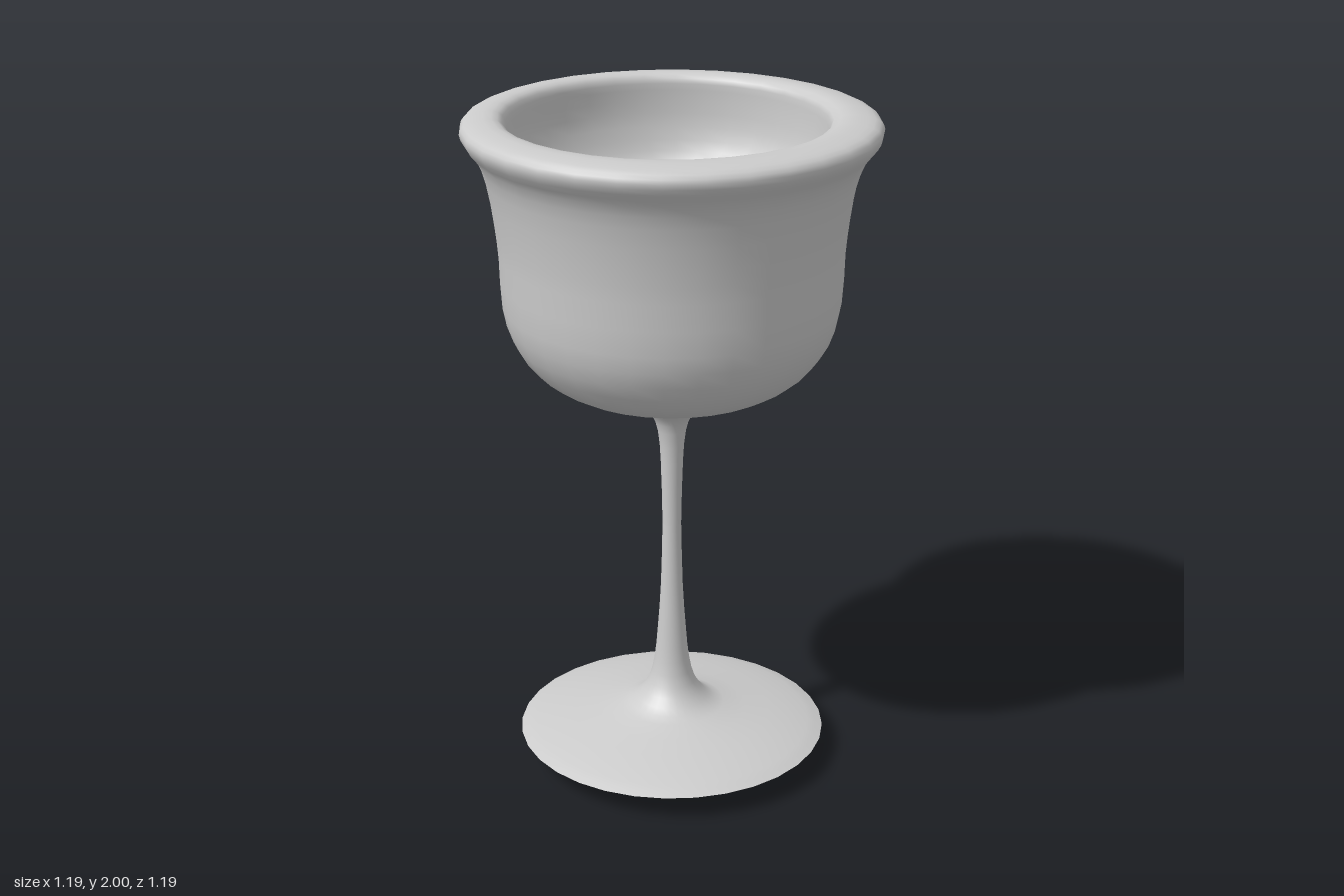
import * as THREE from 'three';
import { mergeVertices } from 'three/addons/utils/BufferGeometryUtils.js';

const SIDES = 32;
const material = new THREE.MeshStandardMaterial({ color: 0xcccccc });

// Smooth surface through rings [radius, y, centreX, centreZ]; centres may drift off the axis.
function ringSurface(name, rings, steps = 2) {
  const at = (f) => new THREE.CatmullRomCurve3(rings.map(f), false, 'centripetal');
  const count = (rings.length - 1) * steps;
  const profile = at(([r, y]) => new THREE.Vector3(r, y, 0));
  const points = [];
  const centres = [];
  for (let i = 0; i <= count; i++) {
    const t = i / count;
    const p = profile.getPoint(t);
    points.push(new THREE.Vector2(Math.max(p.x, 0), p.y));
    const k = Math.min(Math.floor(i / steps), rings.length - 2);
    const f = i / steps - k;
    const [, , ax = 0, az = 0] = rings[k];
    const [, , bx = 0, bz = 0] = rings[k + 1];
    centres.push([ax + (bx - ax) * f, az + (bz - az) * f]);
  }
  let geometry = new THREE.LatheGeometry(points, SIDES);
  const pos = geometry.attributes.position;
  for (let i = 0; i < pos.count; i++) {
    const [cx, cz] = centres[i % points.length];
    pos.setX(i, pos.getX(i) + cx);
    pos.setZ(i, pos.getZ(i) + cz);
  }
  // Weld the seam so the shading runs round without a break
  geometry.deleteAttribute('normal');
  geometry.deleteAttribute('uv');
  geometry = mergeVertices(geometry, 1e-5);
  geometry.computeVertexNormals();
  const mesh = new THREE.Mesh(geometry, material);
  mesh.name = name;
  return mesh;
}

export function createModel() {
  const goblet = new THREE.Group();
  goblet.name = 'goblet';

  // Shallow convex underside, meeting the foot in a sharp edge
  goblet.add(ringSurface('footUnderside', [
    [0, 0.006], [0.1, 0.008], [0.2, 0.014], [0.32, 0.03], [0.41, 0.05], [0.465, 0.075],
  ]));

  // Small round nub at the centre of the underside
  const nub = new THREE.Mesh(new THREE.CylinderGeometry(0.03, 0.03, 0.01, 16), material);
  nub.name = 'footNub';
  nub.position.y = 0.005;
  goblet.add(nub);

  // Foot top flaring up into the slim stem
  goblet.add(ringSurface('footAndStem', [
    [0.465, 0.075], [0.42, 0.092], [0.3, 0.12], [0.16, 0.148], [0.11, 0.175], [0.072, 0.225],
    [0.053, 0.3], [0.043, 0.4], [0.033, 0.55], [0.028, 0.75],
  ]));

  // Stem top, cup wall, rolled rim and the off-centre hollow in one skin
  goblet.add(ringSurface('bowl', [
    [0.028, 0.75], [0.033, 0.95], [0.042, 1.05], [0.06, 1.1], [0.1, 1.135], [0.2, 1.17],
    [0.32, 1.212], [0.4, 1.265], [0.46, 1.35], [0.488, 1.45], [0.495, 1.6], [0.505, 1.7],
    [0.525, 1.82], [0.55, 1.89], [0.582, 1.93], [0.595, 1.962], [0.583, 1.985], [0.55, 1.996],
    [0.5, 2, 0, -0.01], [0.465, 1.985, 0, -0.022], [0.455, 1.95, 0.005, -0.03],
    [0.445, 1.88, 0.01, -0.04], [0.405, 1.8, 0.03, -0.06], [0.32, 1.745, 0.06, -0.115],
    [0.2, 1.725, 0.1, -0.2],
  ]));

  // Low step down to the flat round floor of the hollow
  goblet.add(ringSurface('hollowStep', [[0.2, 1.725, 0.1, -0.2], [0.205, 1.7, 0.1, -0.21]], 1));
  const floor = new THREE.Mesh(new THREE.CircleGeometry(0.205, SIDES), material);
  floor.name = 'hollowFloor';
  floor.rotation.x = -Math.PI / 2;
  floor.position.set(0.1, 1.7, -0.21);
  goblet.add(floor);

  return goblet;
}
